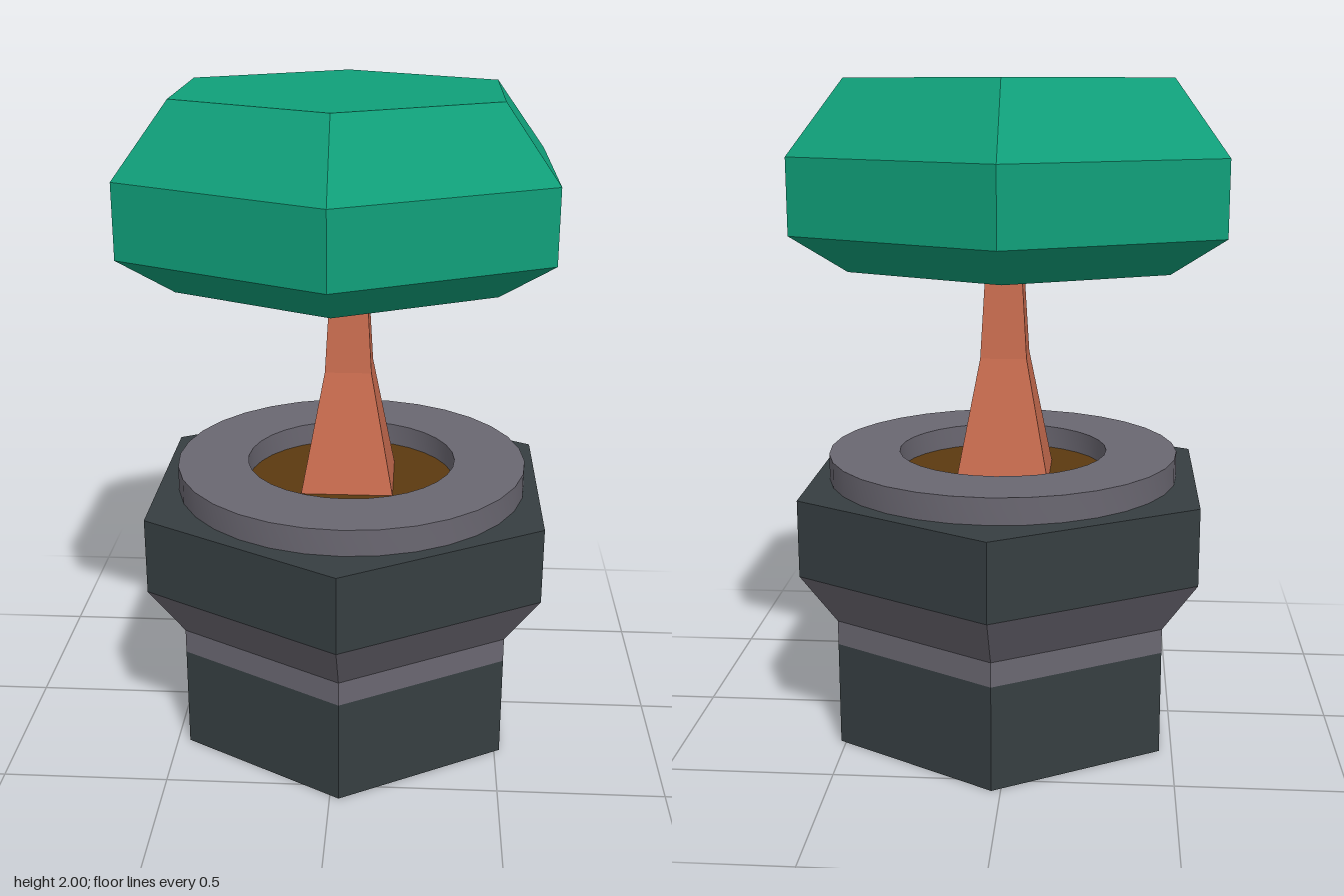
import * as THREE from 'three';
import { toCreasedNormals } from 'three/addons/utils/BufferGeometryUtils.js';

const material = (color, flatShading = true) =>
  new THREE.MeshStandardMaterial({ color, flatShading });

// Faceted solid of revolution; profile is [radius, y] pairs from bottom to top
function turned(name, profile, sides, mat, phase = 0) {
  const points = profile.map(([r, y]) => new THREE.Vector2(r, y));
  const mesh = new THREE.Mesh(new THREE.LatheGeometry(points, sides, phase), mat);
  mesh.name = name;
  return mesh;
}

export function createModel() {
  const model = new THREE.Group();
  model.name = 'pottedTree';

  const dark = material(0x363e41);
  const grey = material(0x6a6771);
  const green = material(0x10a07a);
  const bark = material(0xca6d50);
  const earth = material(0x5c3a10);

  // Hexagonal pot: dark foot, grey flared waist, dark rim
  const pot = new THREE.Group();
  pot.name = 'pot';
  pot.position.x = 0.027;
  pot.add(
    turned('potFoot', [[0, 0], [0.565, 0], [0.565, 0.32]], 6, dark),
    turned('potWaist', [[0.565, 0.32], [0.565, 0.395], [0.68, 0.555]], 6, grey),
    turned('potRim', [[0.68, 0.555], [0.68, 0.79], [0, 0.79]], 6, dark)
  );
  model.add(pot);

  // Round collar on top of the pot
  const collar = turned('collar',
    [[0.54, 0.79], [0.54, 0.87], [0.322, 0.87], [0.322, 0.79]], 32,
    material(0x6a6771, false));
  collar.geometry = toCreasedNormals(collar.geometry, Math.PI / 6);
  collar.position.set(0.035, 0, 0.005);
  model.add(collar);

  // Soil disc inside the collar
  const soil = new THREE.Mesh(new THREE.CircleGeometry(0.324, 32), earth);
  soil.name = 'soil';
  soil.rotation.x = -Math.PI / 2;
  soil.position.set(0.035, 0.8, 0.005);
  model.add(soil);

  // Square tapered trunk, given as half widths
  const trunkProfile = [[0, 0.795], [0.141, 0.795], [0.0705, 1.17], [0.053, 1.47], [0, 1.47]]
    .map(([half, y]) => [half * Math.SQRT2, y]);
  const trunk = turned('trunk', trunkProfile, 4, bark, Math.PI / 4);
  trunk.position.set(0.0275, 0, -0.002);
  model.add(trunk);

  // Chamfered hexagonal foliage, a little wider across x
  const foliage = turned('foliage',
    [[0, 1.455], [0.475, 1.455], [0.633, 1.565], [0.633, 1.785], [0.475, 2], [0, 2]], 6, green);
  foliage.scale.x = 1.122;
  foliage.position.z = -0.02;
  model.add(foliage);

  return model;
}
